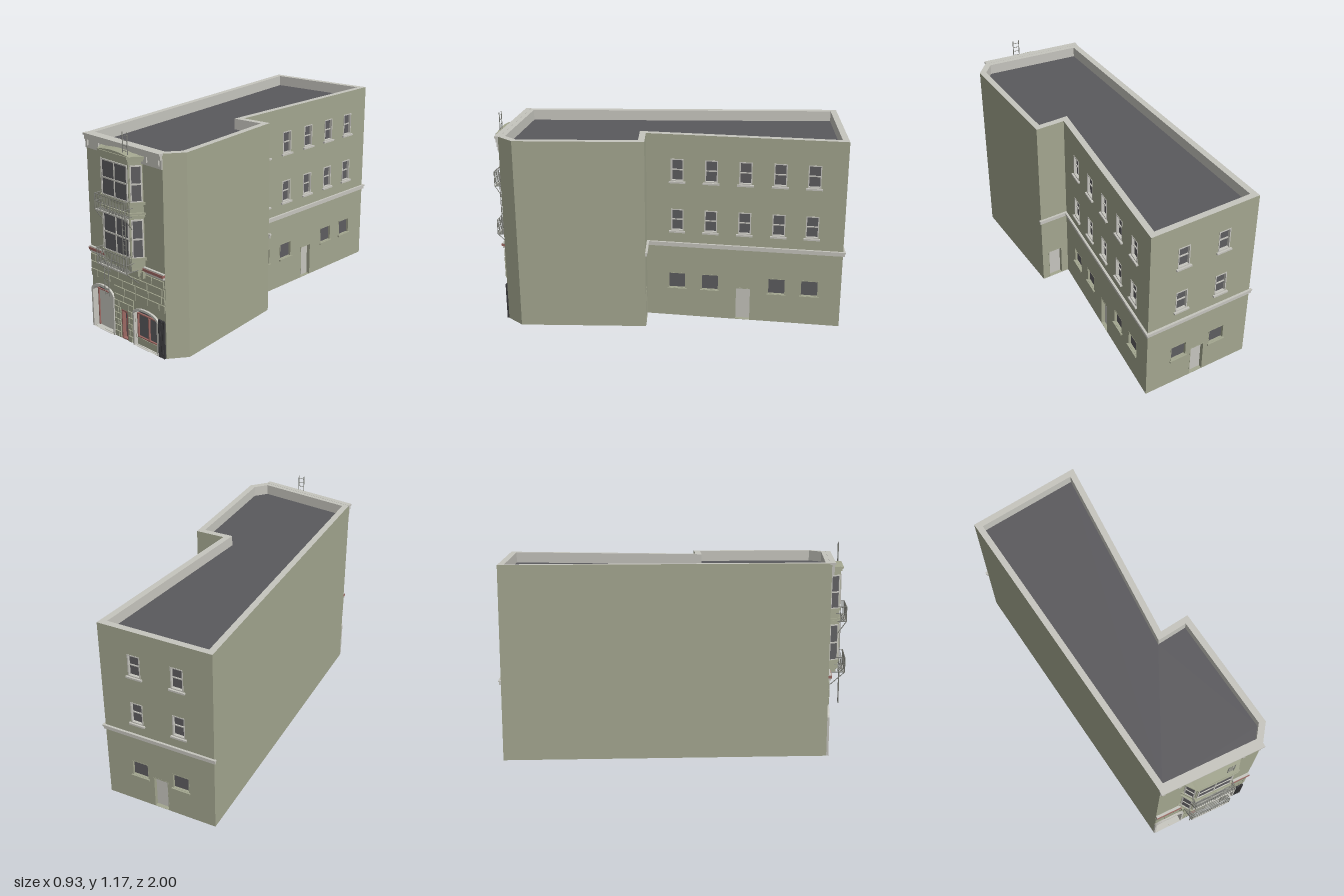
import * as THREE from 'three';

const mat = (name, color, side = THREE.FrontSide) => {
  const m = new THREE.MeshStandardMaterial({ color, side });
  m.name = name;
  return m;
};

export function createModel() {
  const wallM = mat('olive wall', 0xa3a68f), trim = mat('pale trim', 0xc6c5be);
  const glass = mat('dark glass', 0x5e5d60), roofM = mat('roof slate', 0x5a595d, THREE.DoubleSide);
  const red = mat('dull red', 0x9c6862), metal = mat('grey iron', 0x85867f), black = mat('black iron', 0x3a3a3c);
  const model = new THREE.Group();
  model.name = 'building';

  const add = (parent, name, geo, m) => {
    const mesh = new THREE.Mesh(geo, m);
    mesh.name = name;
    parent.add(mesh);
    return mesh;
  };
  // box given by its minimum and maximum corners
  const box = (p, name, m, x0, x1, y0, y1, z0, z1) => {
    const b = add(p, name, new THREE.BoxGeometry(x1 - x0, y1 - y0, z1 - z0), m);
    b.position.set((x0 + x1) / 2, (y0 + y1) / 2, (z0 + z1) / 2);
    return b;
  };
  // round bar between two points
  const bar = (p, name, a, b, r = 0.0022, m = metal) => {
    const A = new THREE.Vector3(...a), d = new THREE.Vector3(...b).sub(A);
    const c = add(p, name, new THREE.CylinderGeometry(r, r, d.length(), 6), m);
    c.position.copy(A).addScaledVector(d, 0.5);
    c.quaternion.setFromUnitVectors(new THREE.Vector3(0, 1, 0), d.normalize());
  };
  const poly = pts => new THREE.Shape(pts.map(([x, y]) => new THREE.Vector2(x, y)));
  const rect = (x0, x1, y0, y1) => poly([[x0, y0], [x1, y0], [x1, y1], [x0, y1]]);
  const arch = (x0, x1, y0, spring, top) => {
    const s = new THREE.Shape();
    s.moveTo(x0, y0); s.lineTo(x1, y0); s.lineTo(x1, spring);
    s.bezierCurveTo(x1 - 0.02, top + 0.008, x0 + 0.02, top + 0.008, x0, spring);
    return s;
  };
  const extrude = (s, depth) => new THREE.ExtrudeGeometry(s, { depth, bevelEnabled: false, curveSegments: 14 });
  const ring = (p, name, outer, inner, z0, z1, m) => {
    outer.holes.push(inner);
    add(p, name, extrude(outer, z1 - z0), m).position.z = z0;
  };
  // local frame along a plan edge: x runs along it, z points outwards
  const edgeFrame = (p, name, [ax, az], [bx, bz]) => {
    const g = new THREE.Group();
    g.name = name;
    g.position.set(ax, 0, az);
    g.rotation.y = Math.atan2(az - bz, bx - ax);
    p.add(g);
    return g;
  };
  // move every plan corner outwards (or inwards when negative)
  const offset = (pts, d) => pts.map((p, i) => {
    const a = pts[(i + pts.length - 1) % pts.length], b = pts[(i + 1) % pts.length];
    const n = (s, e) => { const l = Math.hypot(e[0] - s[0], e[1] - s[1]); return [-(e[1] - s[1]) / l, (e[0] - s[0]) / l]; };
    const m = n(a, p), k = n(p, b), f = d / (1 + m[0] * k[0] + m[1] * k[1]);
    return [p[0] + (m[0] + k[0]) * f, p[1] + (m[1] + k[1]) * f];
  });
  const plan = pts => poly(pts.map(([x, z]) => [x, -z]));
  const flat = (p, name, shape, y, m, up = true) => {
    const o = add(p, name, new THREE.ShapeGeometry(shape), m);
    o.geometry.rotateX(-Math.PI / 2);
    if (!up) o.geometry.index.array.reverse();
    if (!up) o.geometry.computeVertexNormals();
    o.position.y = y;
  };

  // shell
  const H = 1.095, FZ = 0.897;
  const foot = [[-0.197, FZ], [0.39, FZ], [0.459, 0.8], [0.362, 0.096], [0.193, 0.119], [0.184, -0.986], [-0.46, -0.9]];
  const inner = offset(foot, -0.035);
  for (const [y, m, up] of [[H, trim, true], [0, wallM, false]]) {
    const s = plan(foot);
    s.holes.push(plan(inner));
    flat(model, up ? 'parapetCap' : 'wallBase', s, y, m, up);
  }
  flat(model, 'roof', plan(inner), 1.035, roofM);

  const len = (a, b) => Math.hypot(b[0] - a[0], b[1] - a[1]);
  const sashWindow = (g, c, y) => {
    ring(g, 'windowFrame', rect(c - 0.036, c + 0.036, y, y + 0.13), rect(c - 0.03, c + 0.03, y + 0.006, y + 0.124), -0.02, 0.002, trim);
    box(g, 'windowPane', glass, c - 0.033, c + 0.033, y + 0.002, y + 0.128, -0.022, -0.014);
    box(g, 'meetingRail', trim, c - 0.031, c + 0.031, y + 0.062, y + 0.068, -0.015, -0.008);
    box(g, 'windowSill', trim, c - 0.046, c + 0.046, y - 0.01, y, -0.01, 0.012);
    return rect(c - 0.035, c + 0.035, y + 0.001, y + 0.129);
  };
  const lowWindow = (g, c) => {
    ring(g, 'lowWindowReveal', rect(c - 0.05, c + 0.05, 0.17, 0.27), rect(c - 0.046, c + 0.046, 0.176, 0.266), -0.022, 0.001, wallM);
    box(g, 'lowWindowPane', glass, c - 0.048, c + 0.048, 0.173, 0.268, -0.022, -0.014);
    box(g, 'lowWindowSill', wallM, c - 0.055, c + 0.055, 0.165, 0.175, -0.01, 0.01);
    return rect(c - 0.048, c + 0.048, 0.172, 0.268);
  };
  const sideDoor = (g, c) => {
    ring(g, 'doorReveal', rect(c - 0.045, c + 0.045, 0.001, 0.2), rect(c - 0.041, c + 0.041, 0.002, 0.195), -0.03, 0.001, wallM);
    box(g, 'sideDoor', trim, c - 0.043, c + 0.043, 0, 0.197, -0.03, -0.022);
    return rect(c - 0.043, c + 0.043, 0.002, 0.197);
  };
  const wallNames = ['frontWall', 'cornerWall', 'leftFrontWall', 'notchWall', 'leftRearWall', 'backWall', 'rightWall'];
  foot.forEach((a, i) => {
    const b = foot[(i + 1) % 7], L = len(a, b), g = edgeFrame(model, wallNames[i], a, b);
    const s = rect(0, L, 0, H);
    if (i === 0) s.holes.push(arch(0.01, 0.177, 0.002, 0.22, 0.263), rect(0.24, 0.289, 0.002, 0.167), arch(0.35, 0.527, 0.002, 0.19, 0.218));
    if (i === 3) s.holes.push(sideDoor(g, L / 2));
    if (i === 4 || i === 5) {
      const cols = i === 4 ? [0.174, 0.364, 0.554, 0.744, 0.929] : [0.31 * L, 0.69 * L];
      for (const c of cols) for (const y of [0.53, 0.825]) s.holes.push(sashWindow(g, c, y));
      for (const c of cols) if (c !== 0.554) s.holes.push(lowWindow(g, c));
      s.holes.push(sideDoor(g, i === 4 ? 0.554 : L / 2));
    }
    add(g, wallNames[i] + 'Face', new THREE.ShapeGeometry(s, 14), wallM);
    if (i > 2 && i < 6) { // string course round the rear
      box(g, 'stringCourse', trim, i === 4 ? 0 : -0.008, i === 3 ? L : L + 0.008, 0.435, 0.452, -0.002, 0.009);
      box(g, 'stringCourseTop', trim, i === 4 ? 0 : -0.012, i === 3 ? L : L + 0.012, 0.452, 0.46, -0.002, 0.013);
    }
    // inner lining, also the inside of the parapet
    const p = inner[(i + 1) % 7], q = inner[i];
    add(edgeFrame(model, 'lining', p, q), 'wallLining', new THREE.ShapeGeometry(rect(0, len(p, q), 0, H)), trim);
  });

  // street front, with x as in the whole building and z from the facade plane
  const front = new THREE.Group();
  front.name = 'streetFront';
  front.position.z = FZ;
  model.add(front);
  box(front, 'cornicePanel', trim, -0.197, 0.39, 1.015, 1.07, 0, 0.006);
  box(front, 'corniceMoulding', trim, -0.197, 0.39, 1.062, 1.085, 0, 0.015);
  box(front, 'corniceTop', trim, -0.2, 0.392, 1.085, H + 0.001, -0.01, 0.021);
  for (const x of [-0.18, -0.09, 0.28, 0.37]) box(front, 'corniceBracket', trim, x - 0.007, x + 0.007, 1.03, 1.062, 0, 0.015);
  for (const [x0, x1] of [[-0.197, -0.045], [0.24, 0.39]]) {
    box(front, 'ledge', trim, x0, x1, 0.438, 0.45, 0, 0.012);
    box(front, 'redLedge', red, x0, x1, 0.45, 0.464, 0, 0.018);
    box(front, 'ledgeCap', trim, x0, x1, 0.464, 0.47, 0, 0.014);
  }
  // staggered stone courses
  const course = (x0, x1, y0, y1, w, shift) => {
    for (let x = x0 - shift; x < x1; x += w) {
      const a = Math.max(x, x0), b = Math.min(x + w - 0.005, x1);
      if (b - a > 0.008) box(front, 'stoneBlock', wallM, a, b, y0, y1 - 0.005, 0, 0.007);
    }
  };
  for (let i = 0; i < 4; i++) course(i ? -0.195 : -0.01, 0.388, 0.255 + i * 0.044, 0.299 + i * 0.044, 0.09 + (i % 3) * 0.012, (i % 2) * 0.047);
  for (let i = 0; i < 7; i++) {
    const y = 0.002 + i * 0.036;
    if (i > 4) course(-0.01, 0.142, y, y + 0.036, 0.08, (i % 2) * 0.04);
    else for (const x of [-0.01, 0.097]) course(x, x + 0.046, y, y + 0.036, 0.034, (i % 2) * 0.016);
  }

  // garage entrance
  ring(front, 'garageArch', arch(-0.197, -0.012, 0, 0.225, 0.273), arch(-0.186, -0.021, 0.001, 0.218, 0.257), -0.03, 0.012, trim);
  box(front, 'garageDoor', trim, -0.174, -0.02, 0, 0.215, -0.034, -0.026);
  add(front, 'garageGlass', new THREE.ShapeGeometry(arch(-0.188, -0.02, 0.001, 0.219, 0.26), 14), glass).position.z = -0.029;
  box(front, 'garageTransom', red, -0.186, -0.021, 0.214, 0.219, -0.028, -0.02);
  box(front, 'garagePost', red, -0.182, -0.176, 0, 0.215, -0.028, -0.02);
  // entrance door
  box(front, 'doorGlass', glass, 0.042, 0.093, 0, 0.168, -0.03, -0.022);
  ring(front, 'doorFrame', rect(0.042, 0.093, 0, 0.168), rect(0.048, 0.087, 0.006, 0.161), -0.024, 0.002, red);
  box(front, 'doorMullion', red, 0.064, 0.071, 0, 0.162, -0.022, -0.014);
  box(front, 'doorTransom', red, 0.046, 0.089, 0.145, 0.15, -0.022, -0.014);
  // arched shop window
  ring(front, 'shopArch', arch(0.143, 0.34, 0, 0.192, 0.228), arch(0.152, 0.33, 0.001, 0.186, 0.214), -0.025, 0.012, trim);
  add(front, 'shopGlass', new THREE.ShapeGeometry(arch(0.15, 0.332, 0.001, 0.188, 0.218), 14), glass).position.z = -0.022;
  box(front, 'shopStallRiser', wallM, 0.151, 0.331, 0, 0.04, -0.022, -0.01);
  for (const y of [0.041, 0.175]) box(front, 'shopRail', red, 0.151, 0.331, y, y + 0.006, -0.022, -0.012);
  for (const x of [0.152, 0.238, 0.324]) box(front, 'shopPost', red, x, x + 0.006, 0, 0.178, -0.022, -0.011);
  // iron gate
  for (let i = 0; i < 5; i++) box(front, 'gateBar', black, 0.342 + i * 0.0098, 0.347 + i * 0.0098, 0, 0.21, 0.002, 0.012);
  for (const y of [0.02, 0.195]) box(front, 'gateRail', black, 0.342, 0.386, y, y + 0.005, 0.003, 0.011);

  // bay window
  const bay = [[-0.05, FZ - 0.002], [-0.008, 0.957], [0.203, 0.957], [0.245, FZ - 0.002]];
  const layer = (name, y0, y1, d, m) => {
    const pts = offset(bay, d).map(([x, z]) => [x, Math.max(z, FZ - 0.002)]);
    pts[0][1] = pts[3][1] = FZ - 0.002;
    const o = add(model, name, extrude(plan(pts), y1 - y0), m);
    o.geometry.rotateX(-Math.PI / 2);
    o.position.y = y0;
  };
  layer('bayBody', 0.465, 1.04, 0, wallM);
  layer('bayFoot', 0.445, 0.465, -0.01, wallM);
  for (const y of [0.508, 0.805]) layer('baySillMoulding', y, y + 0.013, 0.008, wallM);
  for (const y of [0.738, 0.752]) layer('bayBandMoulding', y, y + 0.01, y < 0.75 ? 0.005 : 0.009, wallM);
  layer('bayCornice', 1.03, 1.043, 0.008, wallM);
  layer('bayCorniceTop', 1.043, 1.056, 0.015, wallM);
  const cap = new THREE.Shape();
  cap.moveTo(-0.03, 0); cap.lineTo(0.225, 0); cap.quadraticCurveTo(0.0975, 0.028, -0.03, 0);
  add(model, 'bayCrown', extrude(cap, 0.07), wallM).position.set(0, 1.055, FZ);
  for (const x of [-0.038, 0.02, 0.205, 0.245]) box(model, 'bayBracket', wallM, x - 0.006, x + 0.006, 0.41, 0.448, FZ, FZ + 0.025);
  for (let i = 0; i < 3; i++) {
    const g = edgeFrame(model, 'baySide', bay[i], bay[i + 1]), L = len(bay[i], bay[i + 1]), e = i === 1 ? 0.009 : 0.011;
    for (const [y0, y1] of [[0.522, 0.722], [0.82, 1.005]]) {
      box(g, 'bayGlass', glass, e, L - e, y0, y1, -0.002, 0.002);
      ring(g, 'bayWindowFrame', rect(e - 0.004, L - e + 0.004, y0 - 0.003, y1 + 0.004), rect(e + 0.003, L - e - 0.003, y0 + 0.003, y1 - 0.003), 0, 0.006, trim);
      box(g, 'bayTransom', trim, e, L - e, (y0 + y1) / 2 - 0.005, (y0 + y1) / 2 + 0.003, 0, 0.006);
      if (i === 1) box(g, 'bayMullion', trim, L / 2 - 0.003, L / 2 + 0.003, y0, y1, 0, 0.006);
    }
  }

  // fire escape balconies
  const X0 = -0.02, X1 = 0.212, Z0 = 0.962, Z1 = 0.997;
  for (const y of [0.447, 0.742]) {
    const g = new THREE.Group();
    g.name = 'balcony';
    model.add(g);
    box(g, 'platformEdge', trim, X0, X1, y - 0.004, y + 0.004, Z1 - 0.005, Z1 + 0.002);
    for (let i = 0; i < 5; i++) box(g, 'platformSlat', metal, X0, X1, y - 0.002, y + 0.002, Z0 - 0.004 + i * 0.0075, Z0 + 0.001 + i * 0.0075);
    for (const h of [0.045, 0.085]) {
      bar(g, 'handrail', [X0, y + h, Z1], [X1, y + h, Z1]);
      for (const x of [X0, X1]) bar(g, 'sideRail', [x, y + h, Z0 - 0.03], [x, y + h, Z1]);
    }
    for (let i = 0; i <= 20; i++) bar(g, 'baluster', [X0 + (X1 - X0) * i / 20, y, Z1], [X0 + (X1 - X0) * i / 20, y + 0.085, Z1], i % 10 ? 0.0013 : 0.0025);
    for (const x of [X0, X1]) {
      for (let i = 0; i < 4; i++) bar(g, 'sideBaluster', [x, y, Z0 + i * 0.009], [x, y + 0.085, Z0 + i * 0.009], 0.0013);
      bar(g, 'brace', [x, y, Z1], [x, y - 0.075, y < 0.5 ? 0.915 : 0.945], 0.0025);
      bar(g, 'bracket', [x, y, Z1], [x, y, 0.9], 0.0025);
    }
  }
  // ladders
  const ladder = (name, x0, x1, y0, y1, z) => {
    const g = new THREE.Group();
    g.name = name;
    model.add(g);
    for (const x of [x0, x1]) bar(g, 'ladderRail', [x, y0, z], [x, y1, z], 0.0025);
    for (let y = y0 + 0.012; y < y1; y += 0.026) bar(g, 'rung', [x0, y, z], [x1, y, z], 0.0016);
  };
  ladder('middleLadder', 0.165, 0.189, 0.447, 0.745, 0.975);
  ladder('roofLadder', 0.159, 0.195, 1.04, 1.173, 0.95);
  ladder('dropLadder', -0.006, 0.028, 0.26, 0.447, 0.966);
  return model;
}
